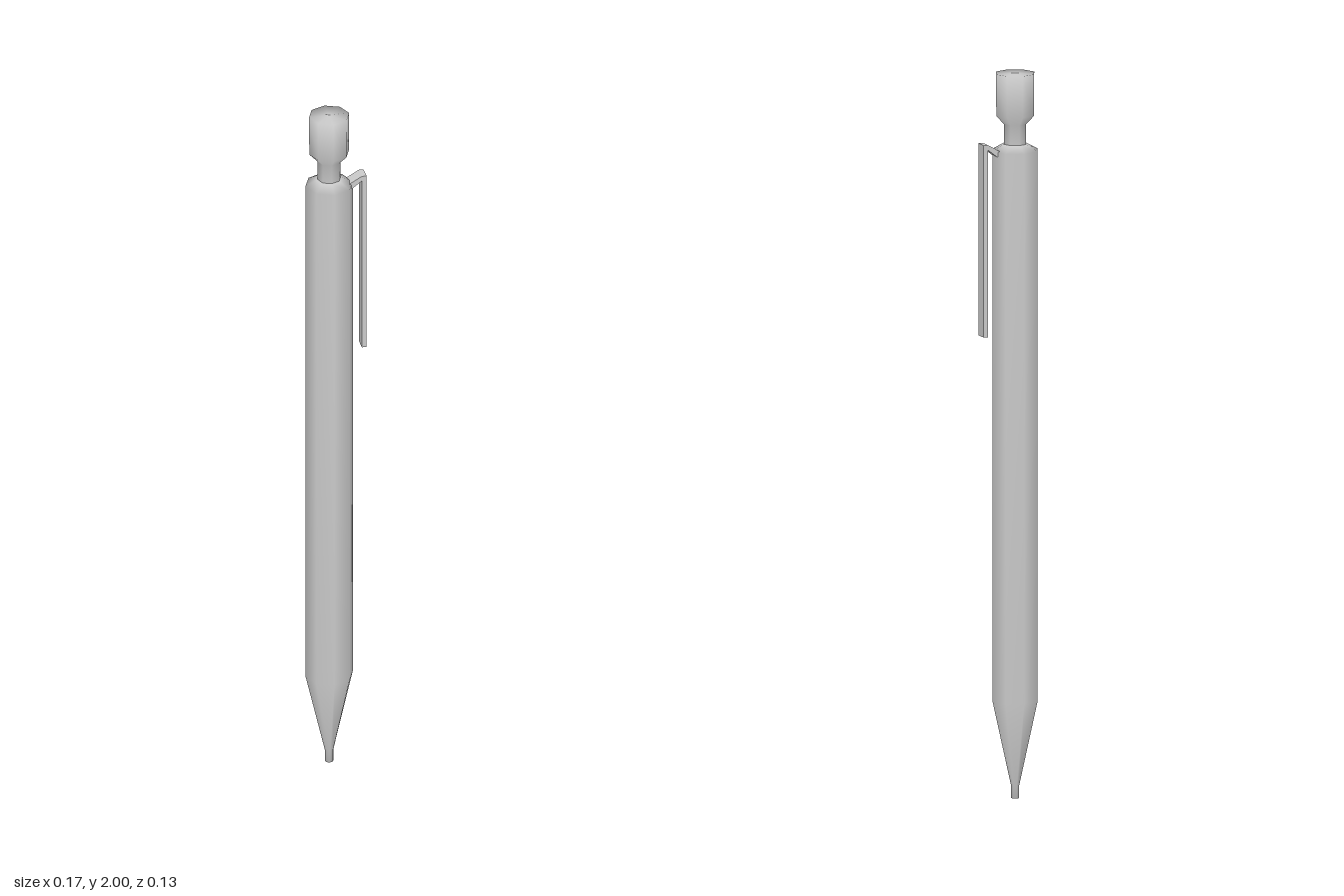
import * as THREE from 'three';

const SIDES = 8;
const AXIS_X = -0.018; // the clip pushes the barrel off centre

export function createModel() {
  const group = new THREE.Group();
  const material = new THREE.MeshStandardMaterial({ color: 0xcccccc });

  const add = (name, geometry, x = 0, z = 0) => {
    const mesh = new THREE.Mesh(geometry, material);
    mesh.name = name;
    mesh.position.set(x, 0, z);
    group.add(mesh);
  };
  // Eight-sided turned part from [radius, height] pairs, bottom to top
  const turned = (profile) =>
    new THREE.LatheGeometry(profile.map(([r, y]) => new THREE.Vector2(r, y)), SIDES);

  // Barrel: lead sleeve, tapered tip, long body and sloping shoulder
  add('barrel', turned([
    [0, 0], [0.012, 0], [0.012, 0.035], [0.066, 0.27],
    [0.066, 1.787], [0.034, 1.805], [0, 1.805],
  ]), AXIS_X);

  // Push button: narrow neck flaring into the cap
  add('pushButton', turned([
    [0.032, 1.79], [0.032, 1.86], [0.055, 1.885], [0.056, 2], [0, 2],
  ]), AXIS_X);

  // Pocket clip: slanted arm out of the shoulder and a long straight strip
  const clip = new THREE.Shape([
    [0.03, 1.778], [0.042, 1.775], [0.069, 1.796], [0.069, 1.28],
    [0.082, 1.28], [0.082, 1.81], [0.069, 1.81], [0.03, 1.788],
  ].map(([x, y]) => new THREE.Vector2(x, y)));
  add('pocketClip', new THREE.ExtrudeGeometry(clip, { depth: 0.038, bevelEnabled: false }), 0, -0.019);

  return group;
}
